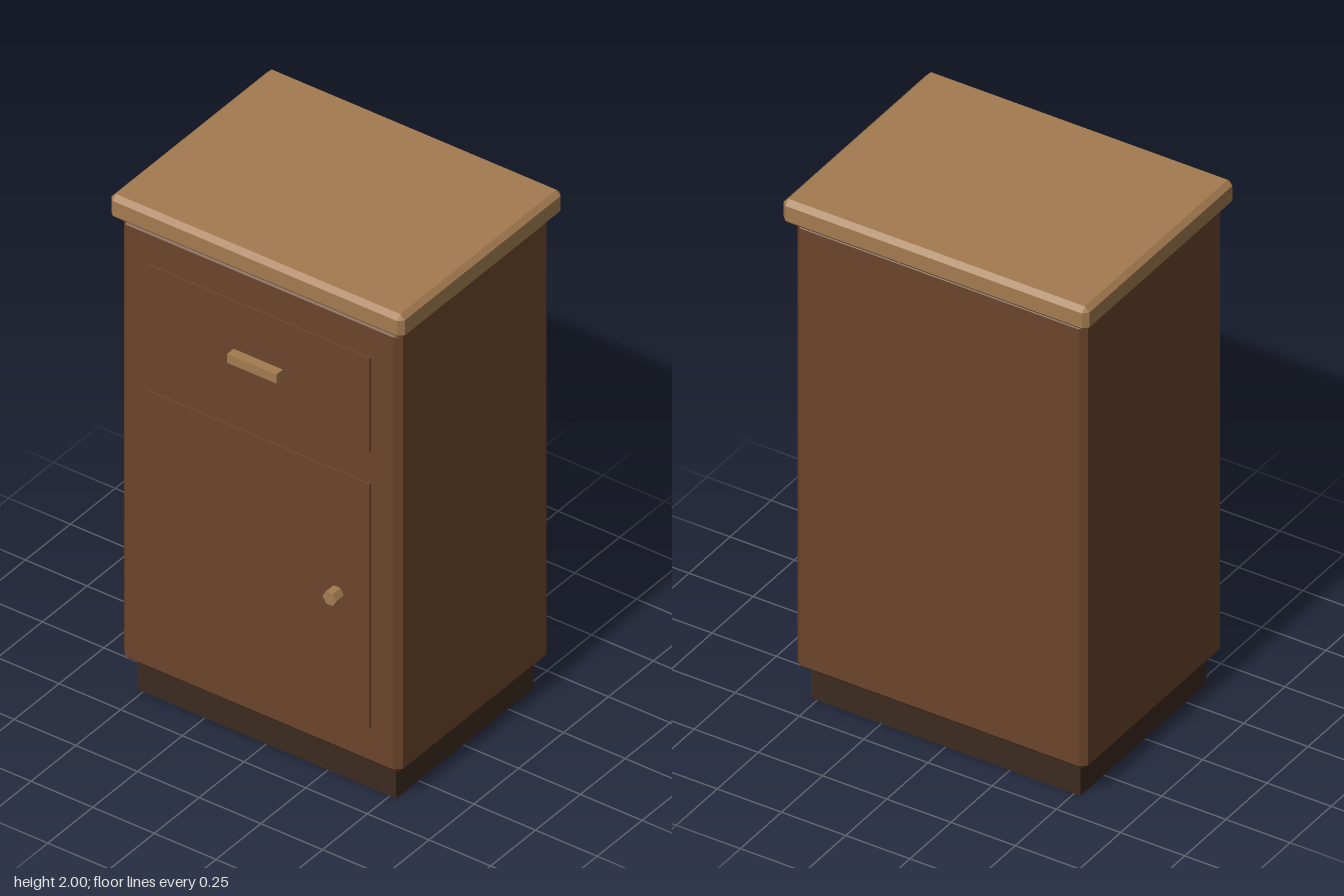
import * as THREE from 'three';
import { ConvexGeometry } from 'three/addons/geometries/ConvexGeometry.js';

const material = (name, color) => {
  const m = new THREE.MeshStandardMaterial({ color });
  m.name = name;
  return m;
};

// Box with every edge cut by a flat chamfer c
function chamferBox(w, h, d, c) {
  const points = [];
  for (const x of [-1, 1]) for (const y of [-1, 1]) for (const z of [-1, 1]) {
    for (let full = 0; full < 3; full++) {
      const inset = [c, c, c];
      inset[full] = 0;
      points.push(new THREE.Vector3(
        x * (w / 2 - inset[0]), y * (h / 2 - inset[1]), z * (d / 2 - inset[2])));
    }
  }
  return new ConvexGeometry(points);
}

export function createModel() {
  const model = new THREE.Group();
  model.name = 'cabinet';
  const brown = material('brown wood', 0x6b452b);
  const tan = material('light wood', 0xa37b4f);
  const dark = material('dark base', 0x3b2a20);

  // Adds a box filling the given ranges, chamfered if c > 0
  const block = (name, mat, [x0, x1], [y0, y1], [z0, z1], c = 0) => {
    const size = [x1 - x0, y1 - y0, z1 - z0];
    const geo = c ? chamferBox(...size, c) : new THREE.BoxGeometry(...size);
    const mesh = new THREE.Mesh(geo, mat);
    mesh.name = name;
    mesh.position.set((x0 + x1) / 2, (y0 + y1) / 2, (z0 + z1) / 2);
    model.add(mesh);
  };

  // Carcass
  block('plinth', dark, [-0.525, 0.525], [0, 0.14], [-0.392, 0.375]);
  block('body', brown, [-0.566, 0.566], [0.125, 1.908], [-0.431, 0.414], 0.022);
  block('worktop', tan, [-0.595, 0.595], [1.905, 2], [-0.465, 0.44], 0.018);

  // Front panels
  block('drawerFront', brown, [-0.452, 0.452], [1.39, 1.768], [0.4, 0.421]);
  block('door', brown, [-0.452, 0.452], [0.28, 1.26], [0.4, 0.421]);

  // Drawer pull
  block('drawerHandle', tan, [-0.1, 0.1], [1.54, 1.576], [0.415, 0.457]);

  // Six-sided door knob, axis along z with corners at left and right
  const knobGeo = new THREE.CylinderGeometry(0.028, 0.028, 0.05, 6).toNonIndexed();
  knobGeo.rotateY(Math.PI / 2).rotateX(Math.PI / 2);
  knobGeo.computeVertexNormals();
  const knob = new THREE.Mesh(knobGeo, tan);
  knob.name = 'doorKnob';
  knob.position.set(0.32, 0.77, 0.439);
  model.add(knob);

  return model;
}
